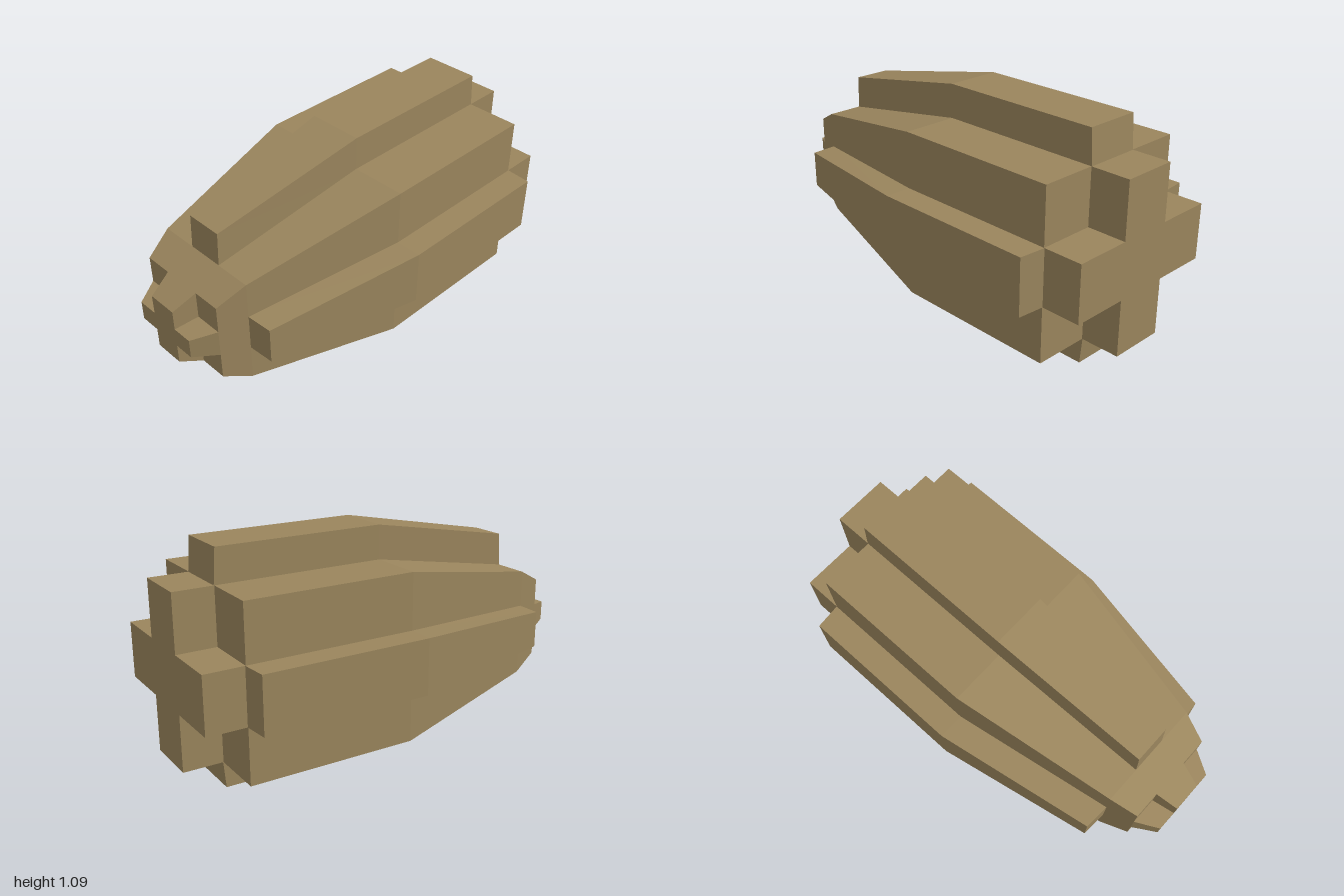
import * as THREE from 'three';

const CY = 0.525; // height of the hull axis

const square = (x, y) => [[x, y], [-x, y], [-x, -y], [x, -y]];

// Plus-shaped outline: outer reach (X, Y), arm half-widths (x, y), anticlockwise
const cross = (X, Y, x, y) => [
  [X, y], [x, y], [x, Y], [-x, Y], [-x, y], [-X, y],
  [-X, -y], [-x, -y], [-x, -Y], [x, -Y], [x, -y], [X, -y],
];

// Lofts matching outlines from back to front and caps both ends.
// Each section lists [x, y] or [x, y, zOffset] corners.
function loft(sections) {
  const pos = [];
  const pt = (s, i) => {
    const p = s.pts[i % s.pts.length];
    return [p[0], p[1], s.z + (p[2] || 0)];
  };
  const tri = (a, b, c) => pos.push(...a, ...b, ...c);
  for (let k = 0; k < sections.length - 1; k++) {
    const a = sections[k], b = sections[k + 1];
    for (let i = 0; i < a.pts.length; i++) {
      tri(pt(a, i), pt(a, i + 1), pt(b, i + 1));
      tri(pt(a, i), pt(b, i + 1), pt(b, i));
    }
  }
  const back = sections[0], front = sections[sections.length - 1];
  const faces = THREE.ShapeUtils.triangulateShape(
    front.pts.map((p) => new THREE.Vector2(p[0], p[1])), []);
  for (const [a, b, c] of faces) {
    tri(pt(front, a), pt(front, b), pt(front, c));
    tri(pt(back, c), pt(back, b), pt(back, a));
  }
  const geo = new THREE.BufferGeometry();
  geo.setAttribute('position', new THREE.Float32BufferAttribute(pos, 3));
  geo.computeVertexNormals();
  return geo;
}

// Raised rib on the +y side; extra makes it taller
function ribGeometry(extra) {
  const section = (z, w, base, top, lean) => ({
    z, pts: [[w, top + extra, lean], [-w, top + extra, lean], [-w, base], [w, base]],
  });
  return loft([
    section(-0.815, 0.133, 0.39, 0.525, 0.012),
    section(0, 0.133, 0.39, 0.525, 0),
    section(0.762, 0.088, 0.25, 0.385, -0.008),
  ]);
}

export function createModel() {
  const group = new THREE.Group();
  const tan = new THREE.MeshStandardMaterial({ color: 0x9a855d, flatShading: true });
  tan.name = 'tan hull';

  const add = (name, geo, roll = 0) => {
    const mesh = new THREE.Mesh(geo, tan);
    mesh.name = name;
    mesh.position.y = CY;
    mesh.rotation.z = roll;
    group.add(mesh);
  };

  // Square tapering hull
  add('hull', loft([
    { z: -0.812, pts: square(0.4, 0.4) },
    { z: 0, pts: square(0.4, 0.4) },
    { z: 0.762, pts: square(0.262, 0.262) },
    { z: 0.893, pts: square(0.225, 0.195) },
  ]));

  // Notched nose and tail
  add('noseCross', loft([
    { z: 0.893, pts: cross(0.225, 0.195, 0.094, 0.065) },
    { z: 1, pts: cross(0.165, 0.142, 0.07, 0.047) },
  ]));
  add('tailCross', loft([
    { z: -1, pts: cross(0.4, 0.4, 0.133, 0.133) },
    { z: -0.812, pts: cross(0.4, 0.4, 0.133, 0.133) },
  ]));

  // Four ribs, the top one slightly taller
  ['topRib', 'rightRib', 'bottomRib', 'leftRib'].forEach((name, i) =>
    add(name, ribGeometry(i === 0 ? 0.036 : 0), i * Math.PI / 2));

  return group;
}
